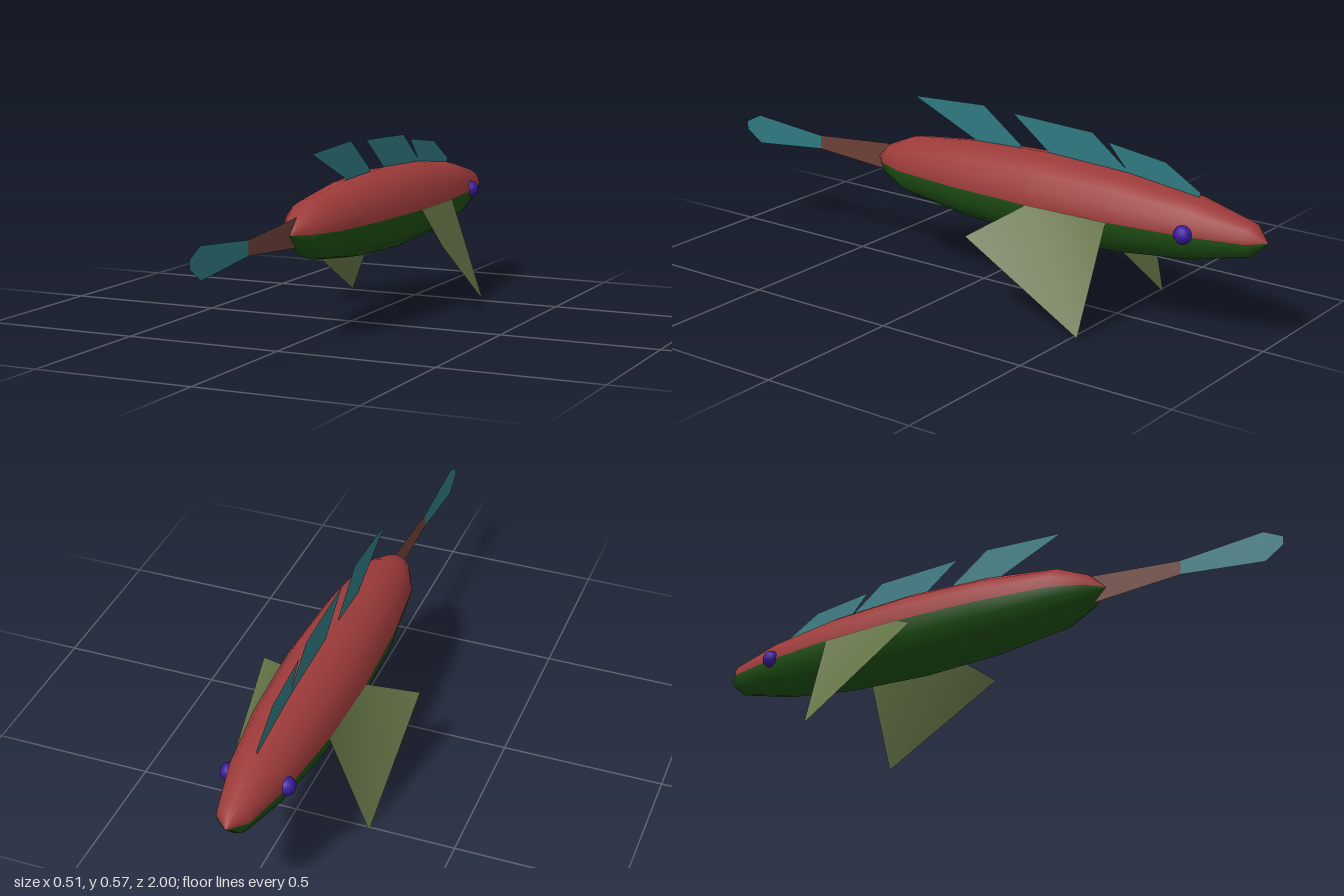
import * as THREE from 'three';

const AXIS_Y = 0.328; // height of the body's long axis

function mat(color, thin = false) {
  return new THREE.MeshStandardMaterial({ color, side: thin ? THREE.DoubleSide : THREE.FrontSide });
}

function add(group, name, geometry, material) {
  const mesh = new THREE.Mesh(geometry, material);
  mesh.name = name;
  group.add(mesh);
  return mesh;
}

// Flat fin in the plane x = 0 from [z, y] corners
function midlineFin(corners) {
  const shape = new THREE.Shape(corners.map(([z, y]) => new THREE.Vector2(-z, y)));
  return new THREE.ShapeGeometry(shape).rotateY(Math.PI / 2);
}

// Four-cornered fin from [x, y, z] corners
function quadFin(corners) {
  const geometry = new THREE.BufferGeometry();
  geometry.setAttribute('position', new THREE.Float32BufferAttribute(corners.flat(), 3));
  geometry.setIndex([0, 1, 3, 1, 2, 3]);
  geometry.computeVertexNormals();
  return geometry;
}

export function createModel() {
  const fish = new THREE.Group();
  fish.name = 'fish';

  const red = mat(0x9c3a3a);
  const green = mat(0x1d4d14);
  const teal = mat(0x2f7880, true);
  const olive = mat(0x667548, true);
  const purple = mat(0x3a1a9c);

  // Body: spindle of revolution along z, snout at -z; 16 sides split into back and belly
  const profile = [
    [0, -1], [0.05, -0.95], [0.093, -0.77], [0.121, -0.53], [0.1315, -0.25],
    [0.121, 0.03], [0.093, 0.27], [0.05, 0.37], [0, 0.42],
  ].map(([r, z]) => new THREE.Vector2(r, z));
  const halves = [['back', Math.PI / 2, red], ['belly', -Math.PI / 2, green]];
  for (const [name, start, material] of halves) {
    const half = new THREE.LatheGeometry(profile, 8, start, Math.PI).rotateX(Math.PI / 2);
    add(fish, name, half, material).position.y = AXIS_Y;
  }

  // Tail: narrow stalk, then a flared blade
  add(fish, 'tailStalk', midlineFin([[0.36, 0.285], [0.67, 0.306], [0.67, 0.352], [0.36, 0.378]]), mat(0x6b4038, true));
  add(fish, 'tailFin', midlineFin([
    [0.67, 0.306], [0.94, 0.278], [1, 0.318], [1, 0.345], [0.94, 0.375], [0.67, 0.352],
  ]), teal);

  // Three swept-back fins along the spine, rear to front
  const dorsalFins = [
    [[0.02, 0.445], [0.27, 0.553], [0, 0.567], [-0.14, 0.465], [-0.14, 0.44]],
    [[-0.25, 0.455], [-0.11, 0.56], [-0.4, 0.55], [-0.53, 0.452], [-0.53, 0.43]],
    [[-0.53, 0.448], [-0.455, 0.53], [-0.655, 0.505], [-0.775, 0.435], [-0.77, 0.41]],
  ];
  dorsalFins.forEach((corners, i) => add(fish, `dorsalFin${i + 1}`, midlineFin(corners), teal));

  // Mirrored side fins and eyes
  for (const [side, s] of [['left', 1], ['right', -1]]) {
    add(fish, `${side}SideFin`, quadFin([
      [s * 0.12, 0.328, -0.53], [s * 0.131, 0.328, -0.25],
      [s * 0.257, 0.238, -0.12], [s * 0.238, 0, -0.515],
    ]), olive);

    const eye = add(fish, `${side}Eye`, new THREE.SphereGeometry(0.028, 12, 8), purple);
    eye.position.set(s * 0.087, 0.332, -0.772);
  }

  return fish;
}
